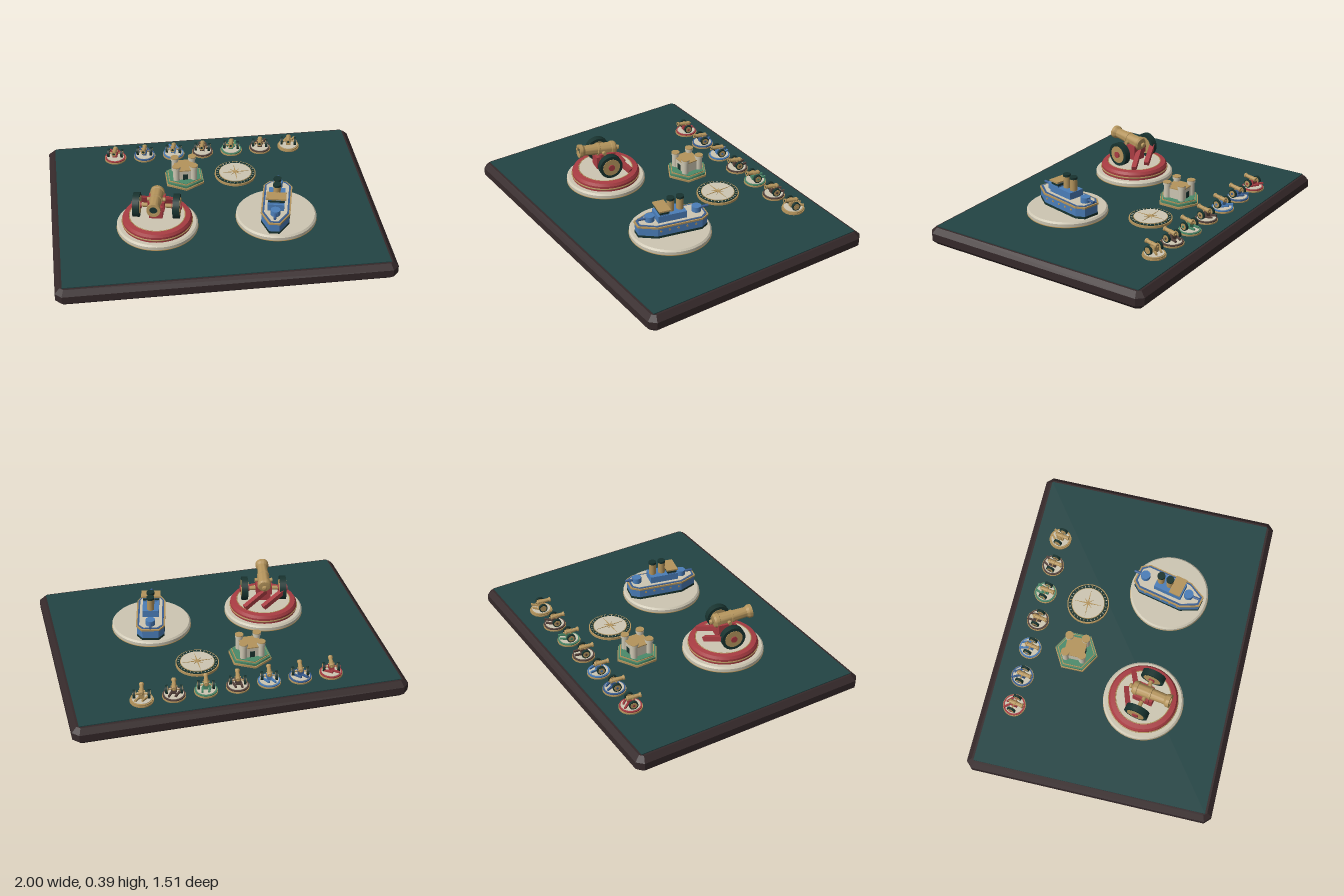
import * as THREE from 'three';
import { toCreasedNormals } from 'three/addons/utils/BufferGeometryUtils.js';

const mat = (name, color) => Object.assign(new THREE.MeshStandardMaterial({ color }), { name });
const M = {
  wood: mat('dark wood', 0x35292a), felt: mat('teal felt', 0x224444), cream: mat('cream', 0xcdc6b2),
  red: mat('red', 0xa83c42), blue: mat('blue', 0x4a7db8), gold: mat('brass', 0xb4945c),
  dark: mat('dark green', 0x18332f), green: mat('green', 0x4a8a6a), navy: mat('steel blue', 0x3a5f94),
  brown: mat('brown', 0x55423c),
};

function add(parent, name, geo, material, x = 0, y = 0, z = 0) {
  const m = new THREE.Mesh(geo, material);
  m.name = name;
  m.position.set(x, y, z);
  parent.add(m);
  return m;
}
function group(parent, name, x = 0, y = 0, z = 0, turn = 0) {
  const g = new THREE.Group();
  g.name = name;
  g.position.set(x, y, z);
  g.rotation.y = turn;
  parent.add(g);
  return g;
}
const box = (w, h, d) => new THREE.BoxGeometry(w, h, d);
const cyl = (r, h, n = 32, r2 = r) => new THREE.CylinderGeometry(r2, r, h, n);
const lathe = (pts, n = 48) =>
  toCreasedNormals(new THREE.LatheGeometry(pts.map(p => new THREE.Vector2(...p)), n), 0.5);
const ring = (r, t, n = 48) => new THREE.TorusGeometry(r, t, 6, n).rotateX(Math.PI / 2);
// Plate standing on y = 0 from an outline of [x, z] points, with an optional bevel
function slab(pts, h, bevel = 0, size = bevel) {
  const shape = new THREE.Shape(pts.map(([x, z]) => new THREE.Vector2(x, -z)));
  const geo = new THREE.ExtrudeGeometry(shape, {
    depth: h - 2 * bevel, bevelEnabled: bevel > 0, bevelThickness: bevel, bevelSize: size, bevelSegments: 1,
  });
  return geo.rotateX(-Math.PI / 2).translate(0, bevel, 0);
}
// Box beam between two points
function beam(parent, name, a, b, w, h, material) {
  const A = new THREE.Vector3(...a), B = new THREE.Vector3(...b);
  const m = add(parent, name, box(w, h, A.distanceTo(B)), material);
  m.position.copy(A).add(B).multiplyScalar(0.5);
  m.lookAt(B);
}

// Field cannon with its muzzle towards +z, standing on y = 0
function cannon(parent, paint, x, y, z, scale) {
  const g = group(parent, 'cannon', x, y, z, -0.2);
  g.scale.setScalar(scale);
  add(g, 'carriage', box(0.08, 0.08, 0.12), paint, 0, 0.06, 0.01);
  for (const s of [-1, 1]) {
    add(g, 'cheek', box(0.02, 0.06, 0.1), paint, s * 0.04, 0.09, 0);
    beam(g, 'trail', [s * 0.05, 0.018, -0.16], [s * 0.066, 0.075, 0], 0.03, 0.03, paint);
    const wheel = group(g, 'wheel', s * 0.12, 0.074, 0.01);
    wheel.rotation.z = Math.PI / 2;
    add(wheel, 'tyre', cyl(0.074, 0.04, 28), M.dark);
    add(wheel, 'wheelFace', cyl(0.055, 0.045, 28), M.gold);
    add(wheel, 'hub', cyl(0.02, 0.06, 16), paint);
  }
  add(g, 'axle', cyl(0.013, 0.24, 12).rotateZ(Math.PI / 2), M.gold, 0, 0.074, 0.01);
  const barrel = group(g, 'barrel', 0, 0.137, 0.03);
  barrel.rotation.x = -0.1;
  add(barrel, 'tube', lathe([[0, -0.125], [0.014, -0.12], [0.016, -0.108], [0.01, -0.1], [0.036, -0.096],
    [0.043, -0.085], [0.043, -0.065], [0.038, -0.062], [0.036, 0.01], [0.039, 0.012], [0.039, 0.025],
    [0.034, 0.027], [0.031, 0.11], [0.041, 0.125], [0.041, 0.145], [0.024, 0.145], [0.022, 0.12]], 28)
    .rotateX(Math.PI / 2), M.gold);
  add(barrel, 'bore', new THREE.CircleGeometry(0.025, 24), M.dark, 0, 0, 0.135);
  add(barrel, 'trunnions', cyl(0.012, 0.11, 12).rotateZ(Math.PI / 2), M.gold, 0, -0.01, -0.01);
}

function plinth(parent, x, z) {
  const g = group(parent, 'plinth', x, 0.11, z);
  add(g, 'disc', lathe([[0, 0], [0.24, 0], [0.245, 0.006], [0.245, 0.026], [0.235, 0.036], [0, 0.036]], 56), M.cream);
  add(g, 'plinthTrim', ring(0.243, 0.004, 56), M.gold, 0, 0.005, 0);
  return g;
}

// Hull outline, bow at +z, grown or shrunk by d
const hull = d => {
  const right = [[0.05 + d * 0.7, -0.215 - d], [0.083 + d, -0.17], [0.083 + d, 0.11], [0.03 + d * 0.7, 0.212 + d]];
  return [...right, ...right.slice().reverse().map(([x, z]) => [-x, z])];
};

function ship(parent) {
  const g = group(parent, 'ship', 0.36, 0.146, 0.2, -0.22);
  add(g, 'keelBand', slab(hull(0.002), 0.014), M.dark);
  add(g, 'hull', slab(hull(0), 0.055), M.blue, 0, 0.014, 0);
  add(g, 'rail', slab(hull(0.006), 0.01), M.gold, 0, 0.066, 0);
  add(g, 'gunwale', slab(hull(-0.003), 0.006), M.navy, 0, 0.073, 0);
  add(g, 'deck', slab(hull(-0.014), 0.004), M.cream, 0, 0.077, 0);
  add(g, 'deckHouse', box(0.1, 0.045, 0.18), M.blue, 0, 0.102, 0.005);
  // Bridge with window band and roof
  add(g, 'bridge', box(0.095, 0.035, 0.055), M.blue, 0, 0.138, 0.055);
  add(g, 'bridgeWindows', box(0.099, 0.012, 0.059), M.dark, 0, 0.14, 0.055);
  add(g, 'bridgeRoof', box(0.12, 0.01, 0.072), M.gold, 0, 0.159, 0.055);
  for (const z of [-0.06, 0.0]) {
    add(g, 'funnel', cyl(0.022, 0.08, 24), M.gold, 0, 0.16, z);
    add(g, 'funnelCap', cyl(0.024, 0.014, 24), M.dark, 0, 0.204, z);
  }
  // Turrets fore and aft
  for (const [z, s] of [[0.13, 1], [-0.165, -1]]) {
    add(g, 'turret', cyl(0.029, 0.035, 24), M.blue, 0, 0.098, z);
    add(g, 'gun', cyl(0.008, 0.06, 12).rotateX(Math.PI / 2), M.navy, 0, 0.1, z + s * 0.045);
  }
  for (const s of [-1, 1]) for (let i = 0; i < 5; i++) // portholes
    add(g, 'porthole', cyl(0.007, 0.004, 12).rotateZ(Math.PI / 2), M.gold, s * 0.083, 0.045, -0.13 + i * 0.055);
}

function castle(parent) {
  const g = group(parent, 'castle', -0.15, 0.11, -0.275);
  add(g, 'hexFoot', cyl(0.135, 0.014, 6), M.gold);
  g.children[0].position.y = 0.007;
  add(g, 'hexPlate', cyl(0.128, 0.016, 6), M.green, 0, 0.02, 0);
  add(g, 'hexRim', cyl(0.118, 0.008, 6), M.gold, 0, 0.03, 0);
  add(g, 'hexGrass', cyl(0.112, 0.008, 6), M.green, 0, 0.033, 0);
  add(g, 'keep', box(0.12, 0.065, 0.12), M.cream, 0, 0.068, 0);
  add(g, 'keepRoof', box(0.124, 0.006, 0.124), M.gold, 0, 0.102, 0);
  for (const x of [-0.055, 0.055]) for (const z of [-0.052, 0.052]) {
    add(g, 'tower', cyl(0.021, 0.085, 20), M.cream, x, 0.078, z);
    add(g, 'towerCap', cyl(0.026, 0.014, 20), M.cream, x, 0.125, z);
    add(g, 'towerRoof', cyl(0.026, 0.004, 20), M.gold, x, 0.134, z);
  }
  for (const s of [-1, 1]) add(g, 'gate', box(0.03, 0.04, 0.004), M.dark, 0, 0.056, s * 0.061);
}

function compass(parent) {
  const g = group(parent, 'compass', 0.177, 0.11, -0.28);
  add(g, 'rim', cyl(0.131, 0.016, 48), M.gold, 0, 0.008, 0);
  add(g, 'scale', cyl(0.124, 0.006, 48), M.dark, 0, 0.016, 0);
  add(g, 'innerRing', cyl(0.104, 0.006, 48), M.gold, 0, 0.018, 0);
  add(g, 'dial', cyl(0.1, 0.006, 48), M.cream, 0, 0.02, 0);
  for (let i = 0; i < 32; i++) {
    const a = i * Math.PI / 16;
    add(g, 'tick', box(0.004, 0.002, 0.01), i % 4 ? M.cream : M.gold,
      Math.sin(a) * 0.114, 0.0195, Math.cos(a) * 0.114).rotation.y = a;
  }
  const star = [];
  for (let i = 0; i < 16; i++) {
    const r = i % 2 ? 0.01 : i % 4 ? 0.04 : 0.09, a = i * Math.PI / 8;
    star.push([Math.sin(a) * r, Math.cos(a) * r]);
  }
  add(g, 'star', slab(star, 0.003), M.gold, 0, 0.0225, 0);
}

export function createModel() {
  const root = new THREE.Group();
  root.name = 'gamePieceDisplay';

  // Board with cut corners and felt top
  const c = 0.02, X = 0.97, Z = 0.725;
  add(root, 'board', slab([[X - c, Z], [X, Z - c], [X, c - Z], [X - c, -Z],
    [c - X, -Z], [-X, c - Z], [-X, Z - c], [c - X, Z]], 0.106, 0.03), M.wood);
  add(root, 'felt', box(1.915, 0.008, 1.425), M.felt, 0, 0.107, 0);

  // Large cannon on a painted drum
  const p = plinth(root, -0.365, 0.2);
  add(p, 'drum', lathe([[0.21, 0.036], [0.21, 0.07], [0.2, 0.086], [0.172, 0.09], [0.165, 0.086], [0, 0.086]], 56), M.red);
  add(p, 'drumTrim', ring(0.21, 0.005, 56), M.gold, 0, 0.052, 0);
  add(p, 'innerTrim', ring(0.168, 0.004, 56), M.gold, 0, 0.087, 0);
  add(p, 'drumTop', cyl(0.165, 0.006, 56), M.cream, 0, 0.086, 0);
  cannon(root, M.red, -0.365, 0.2, 0.2, 1);

  plinth(root, 0.36, 0.2);
  ship(root);
  castle(root);
  compass(root);

  // Row of small cannon tokens
  [M.red, M.navy, M.blue, M.brown, M.green, M.brown, M.gold].forEach((paint, i) => {
    const x = (i - 3) * 0.19, g = group(root, 'token', x, 0.11, -0.56);
    add(g, 'tokenFoot', cyl(0.07, 0.01, 32), M.gold, 0, 0.005, 0);
    add(g, 'tokenRing', cyl(0.066, 0.01, 32), paint, 0, 0.013, 0);
    add(g, 'tokenTop', cyl(0.057, 0.004, 32), M.cream, 0, 0.019, 0);
    cannon(g, paint, 0, 0.02, 0, 0.36);
  });
  return root;
}
